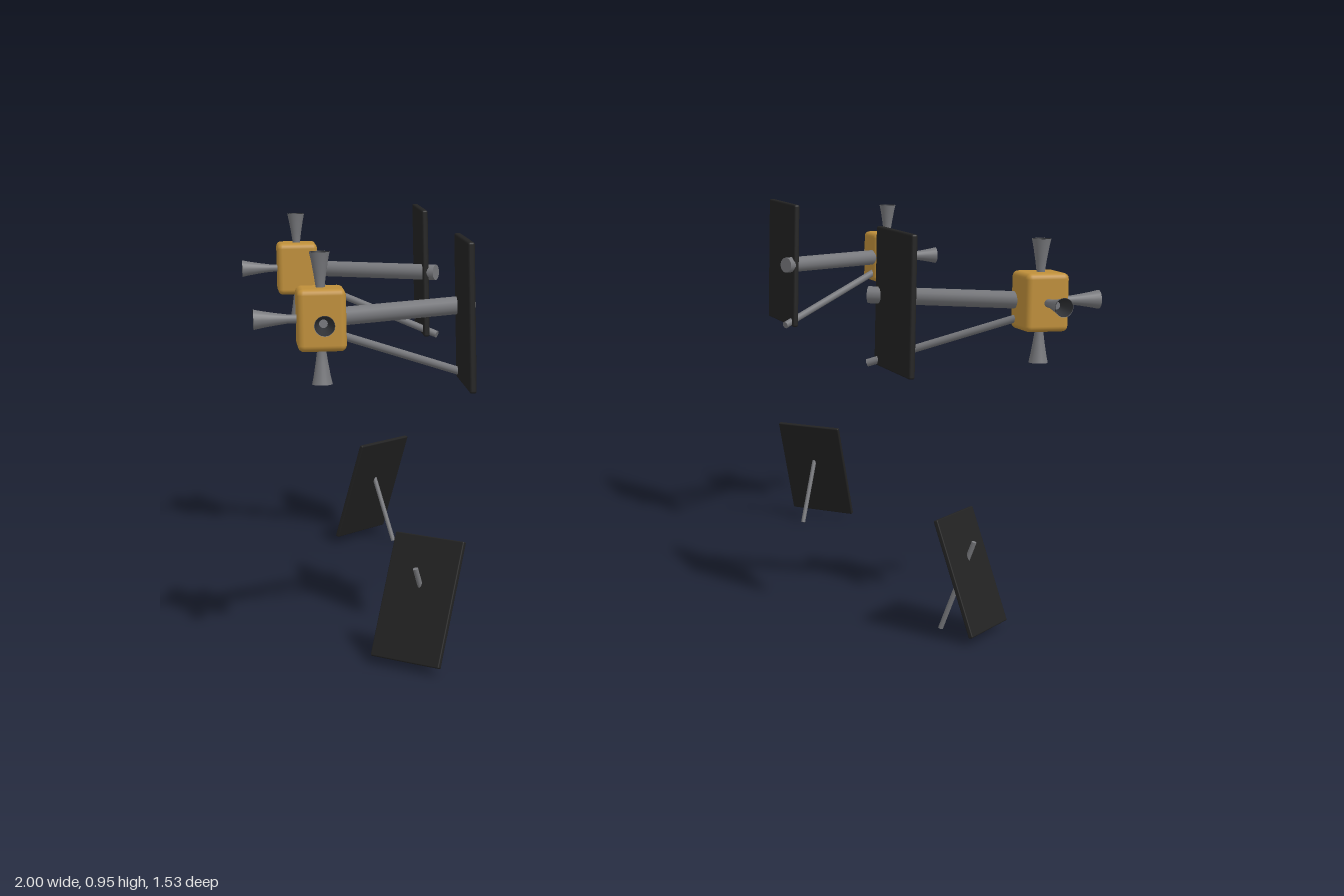
import * as THREE from 'three';
import { RoundedBoxGeometry } from 'three/addons/geometries/RoundedBoxGeometry.js';

function material(name, color, side = THREE.FrontSide) {
  const m = new THREE.MeshStandardMaterial({ color, side });
  m.name = name;
  return m;
}

const gold = material('gold foil', 0xbf8f3a);
const steel = material('steel grey', 0x77787c, THREE.DoubleSide);
const black = material('panel black', 0x222222);
const soot = material('nozzle interior', 0x303236, THREE.DoubleSide);

const UP = new THREE.Vector3(0, 1, 0);

function part(name, geometry, mat, parent) {
  const mesh = new THREE.Mesh(geometry, mat);
  mesh.name = name;
  parent.add(mesh);
  return mesh;
}

// Round bar between two points
function rod(name, a, b, radius, parent) {
  const dir = b.clone().sub(a);
  const mesh = part(name, new THREE.CylinderGeometry(radius, radius, dir.length(), 20), steel, parent);
  mesh.position.copy(a).add(b).multiplyScalar(0.5);
  mesh.quaternion.setFromUnitVectors(UP, dir.normalize());
  return mesh;
}

const lathe = (pts) => new THREE.LatheGeometry(pts.map(([r, y]) => new THREE.Vector2(r, y)), 20);
const bellOuter = lathe([[0.010, 0.045], [0.0105, 0.075], [0.014, 0.10], [0.019, 0.13], [0.023, 0.149]]);
const bellInner = lathe([[0.009, 0.10], [0.0125, 0.11], [0.0175, 0.13], [0.022, 0.149]]);
const bellFloor = new THREE.CylinderGeometry(0.0095, 0.0095, 0.004, 20);

// Flared nozzle pointing along dir from the centre of its block
function nozzle(dir, parent) {
  const g = new THREE.Group();
  g.name = 'nozzle';
  part('bell', bellOuter, steel, g);
  part('bellInterior', bellInner, soot, g);
  part('bellFloor', bellFloor, steel, g).position.y = 0.1;
  g.quaternion.setFromUnitVectors(UP, dir);
  parent.add(g);
}

// Thruster block with four nozzles, carried on an arm and a strut behind a square panel
function thrusterUnit(sx, sz) {
  const g = new THREE.Group();
  g.name = 'thrusterUnit';
  const zAt = (d) => -0.035 + sz * d;
  const centre = new THREE.Vector3(sx * 0.852, 0.783, zAt(0.588));

  const head = new THREE.Group();
  head.name = 'thrusterHead';
  head.position.copy(centre);
  g.add(head);
  part('block', new RoundedBoxGeometry(0.108, 0.14, 0.108, 3, 0.014), gold, head);
  for (const d of [[0, 1, 0], [0, -1, 0], [sx, 0, 0], [0, 0, sz]]) nozzle(new THREE.Vector3(...d), head);

  const armEnd = new THREE.Vector3(sx * 0.49, 0.783, zAt(0.38));
  rod('arm', centre, armEnd, 0.021, g);
  const strutStart = centre.clone().setY(0.758);
  rod('strut', strutStart, armEnd.clone().setY(0.614), 0.0095, g);

  const panel = part('mountPanel', new RoundedBoxGeometry(0.016, 0.342, 0.267, 2, 0.005), black, g);
  panel.position.set(sx * 0.518, 0.78, zAt(0.505));
  return g;
}

// Leaning plate on a diagonal, propped by a leg passing through it
function leaningPlate(sx, sz) {
  const g = new THREE.Group();
  g.name = 'leaningPlate';
  const plate = part('plate', new RoundedBoxGeometry(0.197, 0.287, 0.011, 2, 0.003), black, g);
  plate.position.set(sx * 0.656, 0.153, sz * 0.656);
  plate.rotation.order = 'YXZ';
  plate.rotation.set(-Math.atan2(0.098, 0.27), Math.atan2(sx, sz), 0);
  rod('propLeg', new THREE.Vector3(sx * 0.603, 0.003, sz * 0.603),
    new THREE.Vector3(sx * 0.661, 0.225, sz * 0.661), 0.006, g);
  return g;
}

export function createModel() {
  const model = new THREE.Group();
  model.name = 'thrusterAssembly';
  for (const sx of [-1, 1]) {
    for (const sz of [-1, 1]) model.add(thrusterUnit(sx, sz), leaningPlate(sx, sz));
  }
  return model;
}
